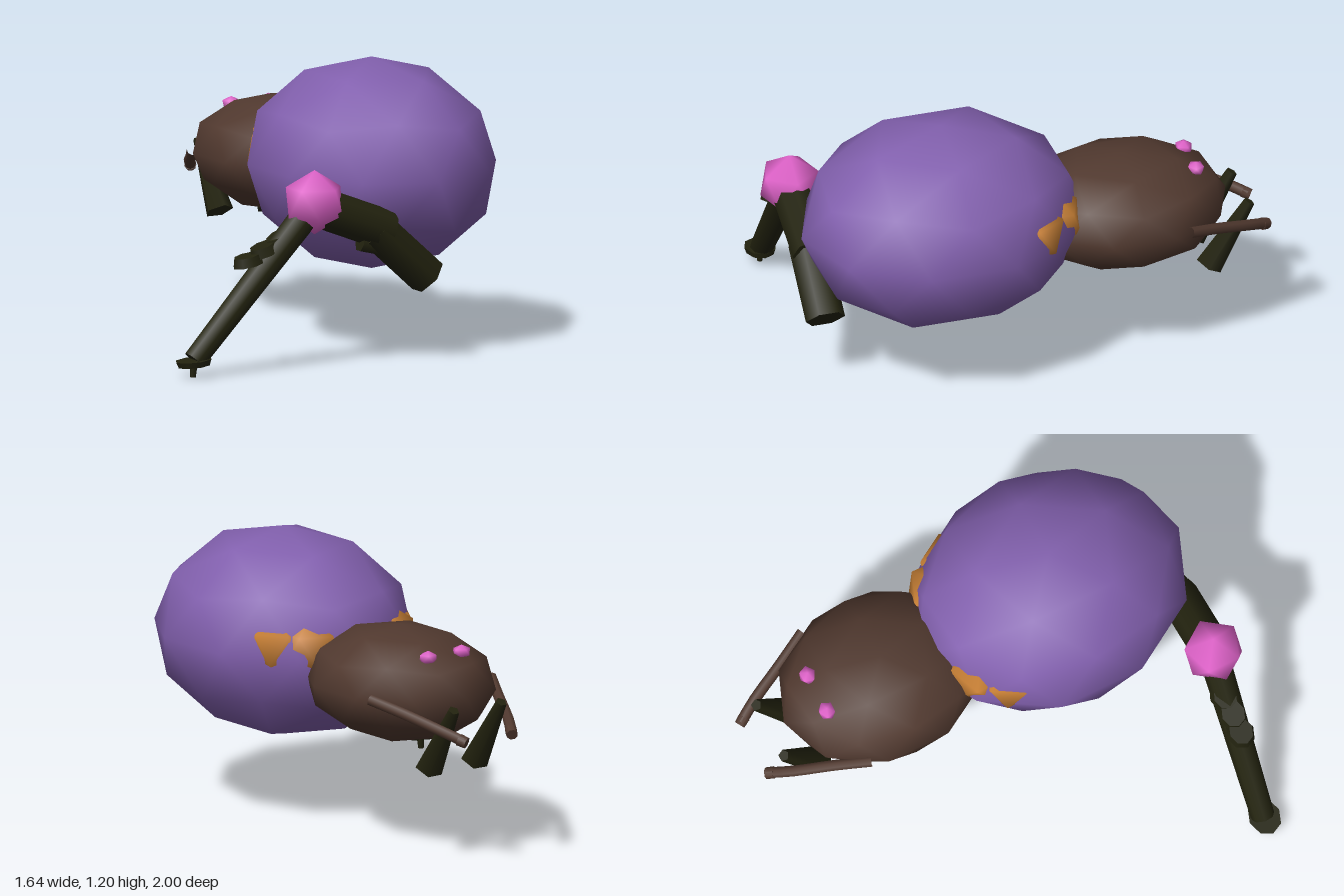
import * as THREE from 'three';

const mat = (name, color) => {
  const m = new THREE.MeshStandardMaterial({ color });
  m.name = name;
  return m;
};
const V = (p) => new THREE.Vector3(...p);

export function createModel() {
  const group = new THREE.Group();
  const purple = mat('purple', 0x8260ae);
  const brown = mat('brown', 0x51392f);
  const dark = mat('darkOlive', 0x23230f);
  const pink = mat('pink', 0xe264cc);
  const orange = mat('orange', 0xc88035);
  const MID = 0.34; // body's plane of symmetry

  const add = (name, geo, material) => {
    const mesh = new THREE.Mesh(geo, material);
    mesh.name = name;
    group.add(mesh);
    return mesh;
  };

  // Smooth low-poly ball with a corner straight up
  const ball = (name, material, pos, size, detail, turn = 0) => {
    const geo = new THREE.IcosahedronGeometry(1, detail);
    geo.setAttribute('normal', geo.attributes.position.clone());
    geo.rotateZ(-Math.atan2(1, (1 + Math.sqrt(5)) / 2));
    geo.rotateY(turn);
    geo.scale(...size);
    const mesh = add(name, geo, material);
    mesh.position.set(...pos);
    return mesh;
  };

  // Tapered prism between two points
  const limb = (name, material, a, b, ra, rb, sides = 8, flat = 1) => {
    const from = V(a), dir = V(b).sub(from);
    const geo = new THREE.CylinderGeometry(rb, ra, dir.length(), sides);
    geo.scale(flat, 1, 1);
    const mesh = add(name, geo, material);
    mesh.position.copy(from).addScaledVector(dir, 0.5);
    mesh.quaternion.setFromUnitVectors(new THREE.Vector3(0, 1, 0), dir.normalize());
    return mesh;
  };

  // Body
  ball('abdomen', purple, [MID, 0.755, 0.385], [0.51, 0.445, 0.605], 1);
  ball('head', brown, [MID, 0.685, -0.4], [0.368, 0.245, 0.45], 1);

  for (const s of [-1, 1]) {
    const mx = (d) => MID + s * d;
    ball('eye', pink, [mx(0.088), 0.853, -0.695], [0.042, 0.03, 0.038], 0, s);

    // Curved feeler
    const path = new THREE.CatmullRomCurve3([
      [mx(0.32), 0.69, -0.6], [mx(0.25), 0.645, -0.74],
      [mx(0.175), 0.59, -0.9], [mx(0.125), 0.555, -0.985],
    ].map(V));
    add('feeler', new THREE.TubeGeometry(path, 8, 0.024, 8), brown);
    limb('feelerTip', brown, [mx(0.137), 0.562, -0.965], [mx(0.12), 0.55, -0.995], 0.026, 0.024);

    // Fang, widening downward
    limb('fang', dark, [mx(0.12), 0.395, -0.74], [mx(0.125), 0.675, -0.915], 0.06, 0.025, 5);

    // Leg sockets, mostly sunk into the abdomen
    for (const [dx, z, turn] of [[0.273, 0.065, -0.547], [0.195, -0.033, -1.2]]) {
      ball('legSocket', orange, [mx(dx), 0.79, z], [0.14, 0.135, 0.14], 0,
        s < 0 ? turn : Math.PI - turn);
    }
  }

  // Single bent leg
  ball('knee', pink, [-0.19, 0.7, 0.88], [0.135, 0.135, 0.135], 0);
  limb('upperLeg', dark, [-0.15, 0.67, 0.88], [0.15, 0.555, 0.885], 0.085, 0.085);
  limb('thigh', dark, [0.09, 0.57, 0.885], [0.338, 0.347, 0.885], 0.085, 0.085, 6);
  limb('thighPlate', dark, [0.02, 0.515, 0.885], [0.2, 0.48, 0.885], 0.04, 0.05, 6);
  limb('shin', dark, [-0.2, 0.68, 0.875], [-0.73, 0.07, 0.835], 0.064, 0.05);

  // Overlapping plates along the shin
  for (let i = 0; i < 3; i++) {
    const x = -0.555 + i * 0.075, y = 0.475 + i * 0.04;
    const plate = new THREE.CylinderGeometry(0.05, 0.06, 0.04, 8);
    plate.scale(1.15, 1, 1);
    const mesh = add('shinPlate', plate, dark);
    mesh.position.set(x + 0.065, y, 0.855);
    mesh.rotation.z = 0.2 + i * 0.15;
  }

  // Foot disc and claw
  const foot = add('foot', new THREE.CylinderGeometry(0.068, 0.06, 0.025, 8), dark);
  foot.scale.x = 1.2;
  foot.position.set(-0.735, 0.06, 0.84);
  foot.rotation.z = 0.08;
  limb('claw', dark, [-0.74, 0, 0.84], [-0.735, 0.06, 0.84], 0.012, 0.016, 6);

  return group;
}
